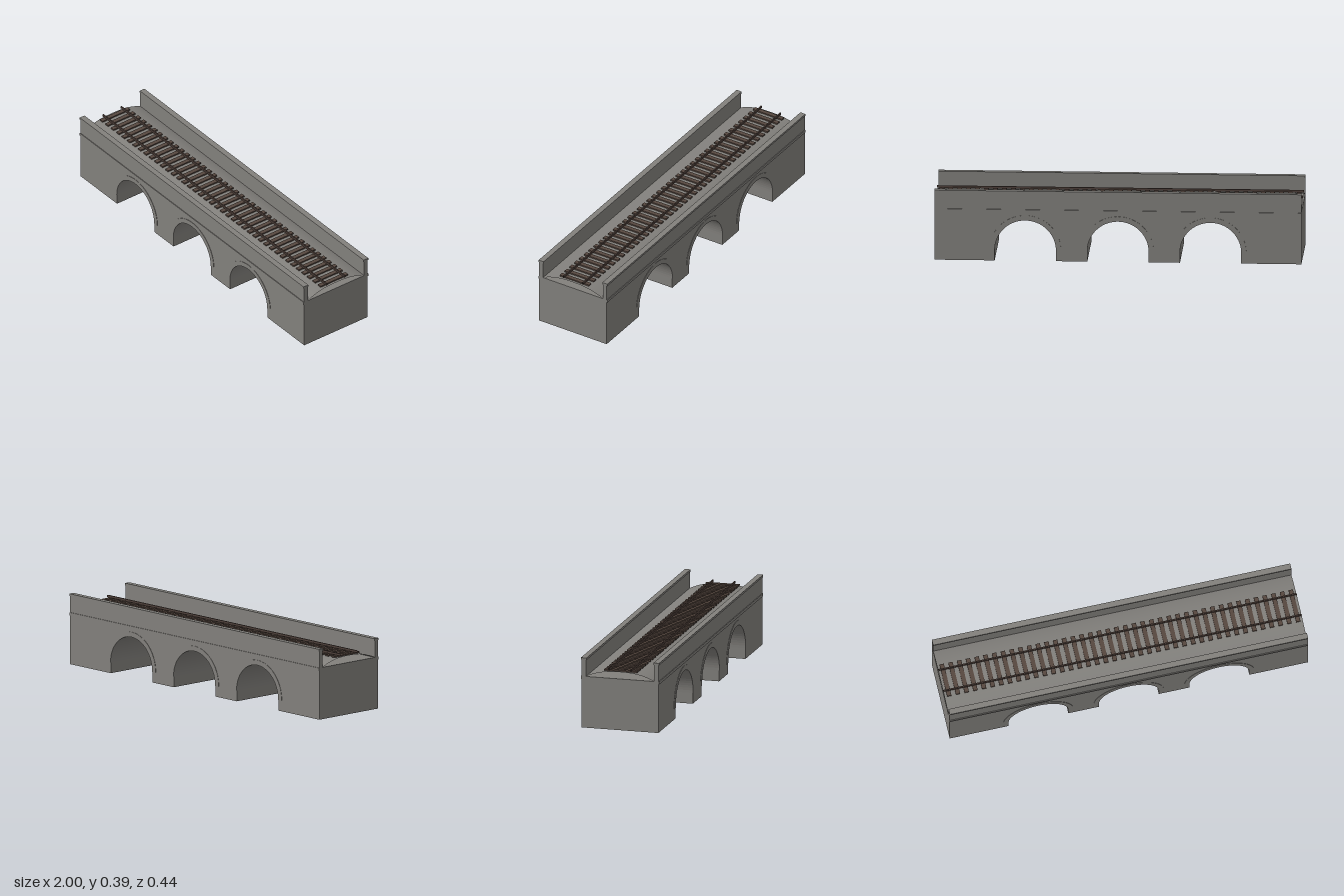
import * as THREE from 'three';

const HALF_W = 0.218, DECK = 0.288, SPRING = 0.06, RADIUS = 0.167, RING = 0.195;
const ARCHES = [-0.505, 0, 0.505];

export function createModel() {
  const stone = new THREE.MeshStandardMaterial({ name: 'stone', color: 0x82807c, flatShading: true });
  const gravel = new THREE.MeshStandardMaterial({ name: 'gravel', color: 0x82807c, side: THREE.DoubleSide });
  const timber = new THREE.MeshStandardMaterial({ name: 'timber', color: 0x56473f });
  const steel = new THREE.MeshStandardMaterial({ name: 'steel', color: 0x4d3f39, side: THREE.DoubleSide });

  const bridge = new THREE.Group();
  bridge.name = 'viaduct';
  const add = (name, geometry, material, x = 0, y = 0, z = 0) => {
    const mesh = new THREE.Mesh(geometry, material);
    mesh.name = name;
    mesh.position.set(x, y, z);
    bridge.add(mesh);
    return mesh;
  };
  const box = (name, material, w, y0, y1, z0, z1, x = 0) =>
    add(name, new THREE.BoxGeometry(w, y1 - y0, Math.abs(z1 - z0)), material, x, (y0 + y1) / 2, (z0 + z1) / 2);

  // Body with three arched openings
  const outline = new THREE.Shape();
  outline.moveTo(-1, 0);
  for (const x of ARCHES) {
    outline.lineTo(x - RADIUS, 0);
    outline.lineTo(x - RADIUS, SPRING);
    outline.absarc(x, SPRING, RADIUS, Math.PI, 0, true);
    outline.lineTo(x + RADIUS, 0);
  }
  outline.lineTo(1, 0);
  outline.lineTo(1, DECK);
  outline.lineTo(-1, DECK);
  outline.closePath();
  const body = new THREE.ExtrudeGeometry(outline, { depth: HALF_W * 2, bevelEnabled: false, curveSegments: 18 });
  add('body', body, stone, 0, 0, -HALF_W);

  // Slightly raised arch ring
  const ringShape = new THREE.Shape();
  ringShape.absarc(0, 0, RING, 0, Math.PI, false);
  ringShape.absarc(0, 0, RADIUS, Math.PI, 0, true);
  ringShape.closePath();
  const ring = new THREE.ExtrudeGeometry(ringShape, { depth: 0.003, bevelEnabled: false, curveSegments: 18 });

  // Parapet, coping, string course and arch rings on both sides
  for (const s of [1, -1]) {
    box('parapet', stone, 2, DECK, 0.38, s * 0.193, s * HALF_W);
    box('coping', stone, 2, 0.38, 0.392, s * 0.19, s * 0.222);
    box('stringCourse', stone, 2, 0.272, DECK, s * (HALF_W - 0.004), s * 0.222);
    for (const x of ARCHES) add('archRing', ring, stone, x, SPRING, s > 0 ? 0.217 : -0.22);
  }

  // Open cambered ballast bed
  const bed = new THREE.PlaneGeometry(2, 0.386, 1, 24).rotateX(-Math.PI / 2);
  const p = bed.attributes.position;
  for (let i = 0; i < p.count; i++) {
    const t = Math.abs(p.getZ(i)) / 0.193;
    p.setY(i, DECK + 0.038 * (1 - t ** 2.5));
  }
  bed.computeVertexNormals();
  add('ballast', bed, gravel);

  // Sleepers
  for (let i = 0; i < 41; i++) {
    box('sleeper', timber, 0.024, 0.325, 0.333, -0.094, 0.094, (i - 20) * 0.0487);
  }

  // Rails, open at both ends
  for (const z of [-0.062, 0.062]) {
    const rail = new THREE.BoxGeometry(2, 0.012, 0.007);
    rail.setIndex(Array.from(rail.index.array).slice(12));
    rail.clearGroups();
    add('rail', rail, steel, 0, 0.339, z);
  }
  return bridge;
}
